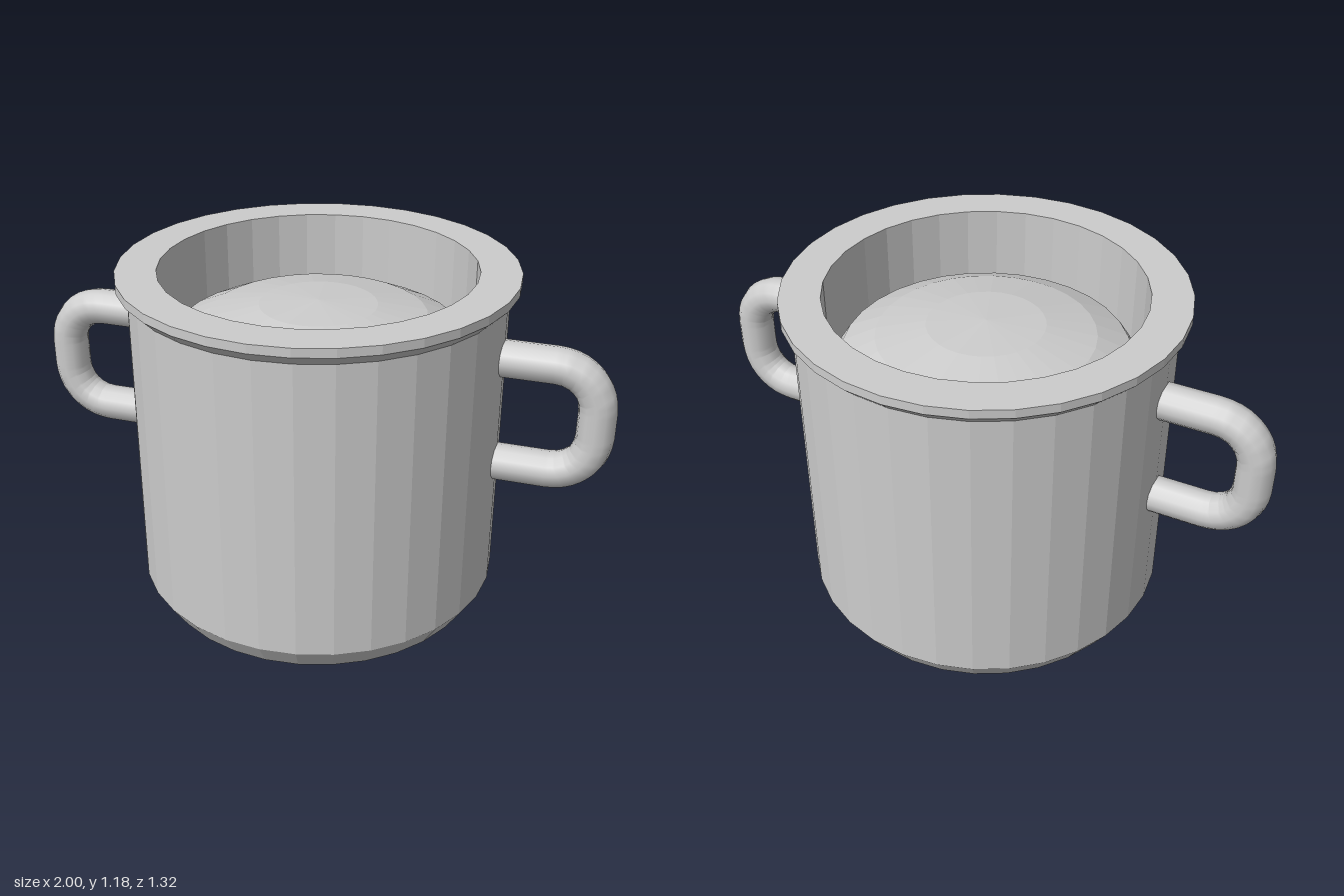
import * as THREE from 'three';

const SIDES = 32;

// Turned part with crisp facets; profile runs bottom to top along the outside
function turned(name, profile, material) {
  const points = profile.map(([r, y]) => new THREE.Vector2(r, y));
  const geometry = new THREE.LatheGeometry(points, SIDES).toNonIndexed();
  geometry.computeVertexNormals();
  const mesh = new THREE.Mesh(geometry, material);
  mesh.name = name;
  return mesh;
}

// Round bar bent into a C, reaching out along +x
function handleGeometry() {
  const inner = 0.58, outer = 0.9375, low = 0.56, high = 0.9375, bend = 0.14;
  const v = (x, y) => new THREE.Vector3(x, y, 0);
  const path = new THREE.CurvePath();
  const corner = (cx, cy, from) => {
    const arc = [];
    for (let i = 0; i <= 6; i++) {
      const a = from - (i / 6) * Math.PI / 2;
      arc.push(v(cx + bend * Math.cos(a), cy + bend * Math.sin(a)));
    }
    return arc;
  };
  const points = [
    v(inner, high),
    ...corner(outer - bend, high - bend, Math.PI / 2),
    ...corner(outer - bend, low + bend, 0),
    v(inner, low),
  ];
  for (let i = 1; i < points.length; i++) path.add(new THREE.LineCurve3(points[i - 1], points[i]));
  return new THREE.TubeGeometry(path, 64, 0.0625, 12, false);
}

export function createModel() {
  const model = new THREE.Group();
  model.name = 'cookingPot';
  const metal = new THREE.MeshStandardMaterial({ color: 0xcccccc });
  metal.name = 'light grey metal';

  // Chamfered base, straight wall, flared lip and hollow inside
  model.add(turned('potBody', [
    [0, 0], [0.57, 0], [0.625, 0.085], [0.625, 1.115], [0.66, 1.15],
    [0.66, 1.18], [0.525, 1.18], [0.525, 0.85], [0, 0.85],
  ], metal));

  // Shallow domed contents
  const dome = [];
  for (let i = 0; i <= 4; i++) {
    const a = (i / 4) * Math.PI / 2;
    dome.push([i === 4 ? 0 : 0.515 * Math.cos(a), 0.9 + 0.16 * Math.sin(a)]);
  }
  model.add(turned('contents', [[0.515, 0.85], ...dome], metal));

  // Pair of side handles
  const geometry = handleGeometry();
  [['leftHandle', 0], ['rightHandle', Math.PI]].forEach(([name, turn]) => {
    const handle = new THREE.Mesh(geometry, metal);
    handle.name = name;
    handle.rotation.y = turn;
    model.add(handle);
  });
  return model;
}
